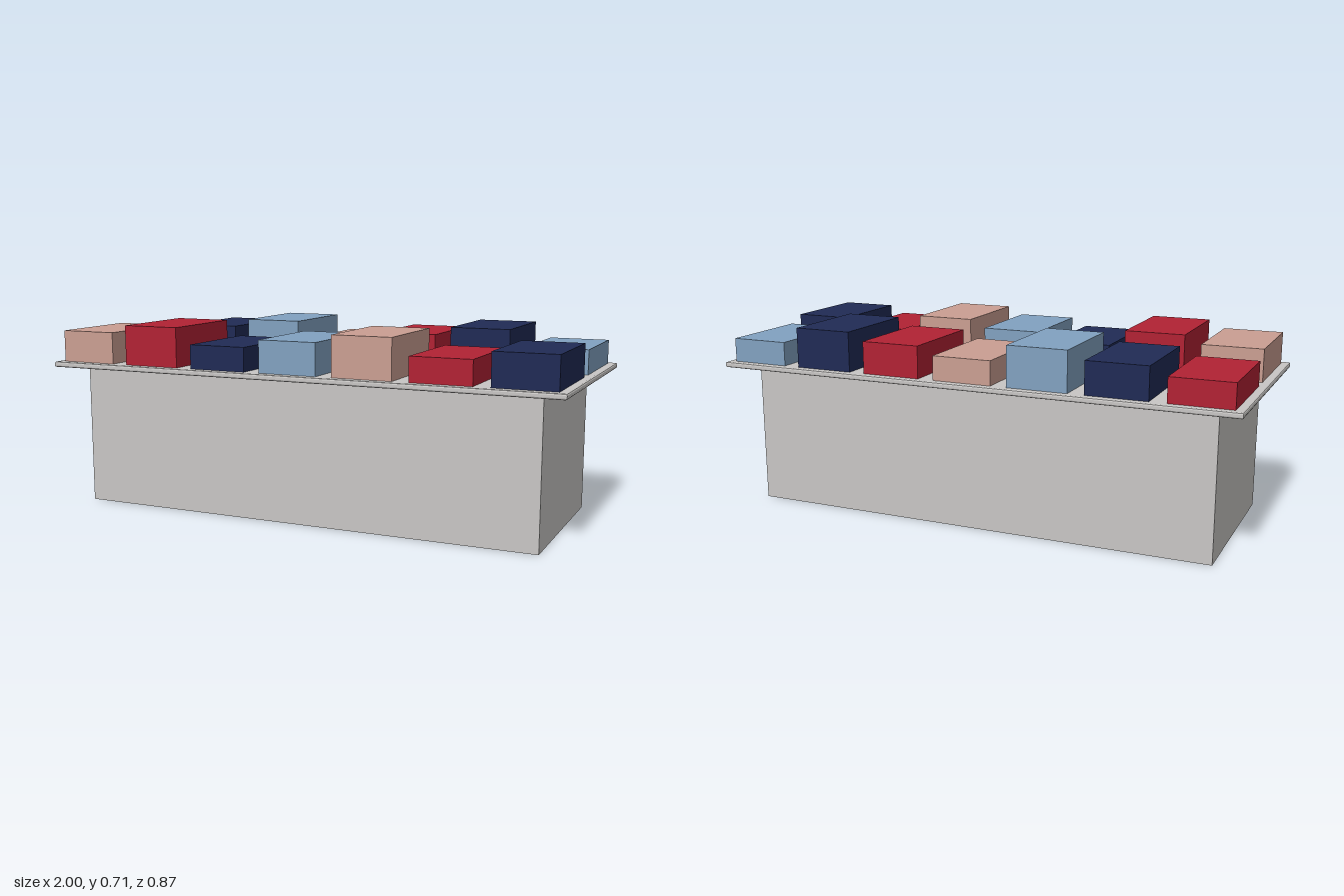
import * as THREE from 'three';

const mat = (name, color) => {
  const m = new THREE.MeshStandardMaterial({ color });
  m.name = name;
  return m;
};

export function createModel() {
  const model = new THREE.Group();
  model.name = 'displayTable';

  const grey = mat('stone grey', 0xc9c7c5);
  const pink = mat('dusty pink', 0xcb9f93);
  const red = mat('red', 0xb22234);
  const navy = mat('navy', 0x202b55);
  const blue = mat('pale blue', 0x82a2c1);
  const colours = [pink, red, navy, blue];

  const add = (name, geometry, material, x, y, z) => {
    const mesh = new THREE.Mesh(geometry, material);
    mesh.name = name;
    mesh.position.set(x, y, z);
    model.add(mesh);
    return mesh;
  };

  // Solid base
  const baseTop = 0.541;
  add('base', new THREE.BoxGeometry(1.81, baseTop, 0.686), grey, 0, baseTop / 2, 0);

  // Table top with a small bevel all round
  const bevel = 0.006, thickness = 0.021, hx = 1 - bevel, hz = 0.436 - bevel;
  const outline = new THREE.Shape([
    new THREE.Vector2(-hx, -hz), new THREE.Vector2(hx, -hz),
    new THREE.Vector2(hx, hz), new THREE.Vector2(-hx, hz),
  ]);
  const slab = new THREE.ExtrudeGeometry(outline, {
    depth: thickness - 2 * bevel, bevelEnabled: true,
    bevelThickness: bevel, bevelSize: bevel, bevelSegments: 2,
  });
  slab.rotateX(-Math.PI / 2);
  add('tableTop', slab, grey, 0, baseTop + bevel, 0);

  // Two rows of folded stacks; colours and heights repeat along each row
  const deck = baseTop + thickness;
  const rows = [
    { name: 'frontStack', z: 0.22, colour: 0, heights: [0.12, 0.15, 0.09] },
    { name: 'backStack', z: -0.22, colour: 1, heights: [0.09, 0.12, 0.15] },
  ];
  for (const row of rows) {
    for (let i = 0; i < 7; i++) {
      const h = row.heights[i % 3];
      add(row.name + (i + 1), new THREE.BoxGeometry(0.225, h, 0.375),
        colours[(i + row.colour) % 4], (i - 3) * 0.2857, deck + h / 2, row.z);
    }
  }
  return model;
}
